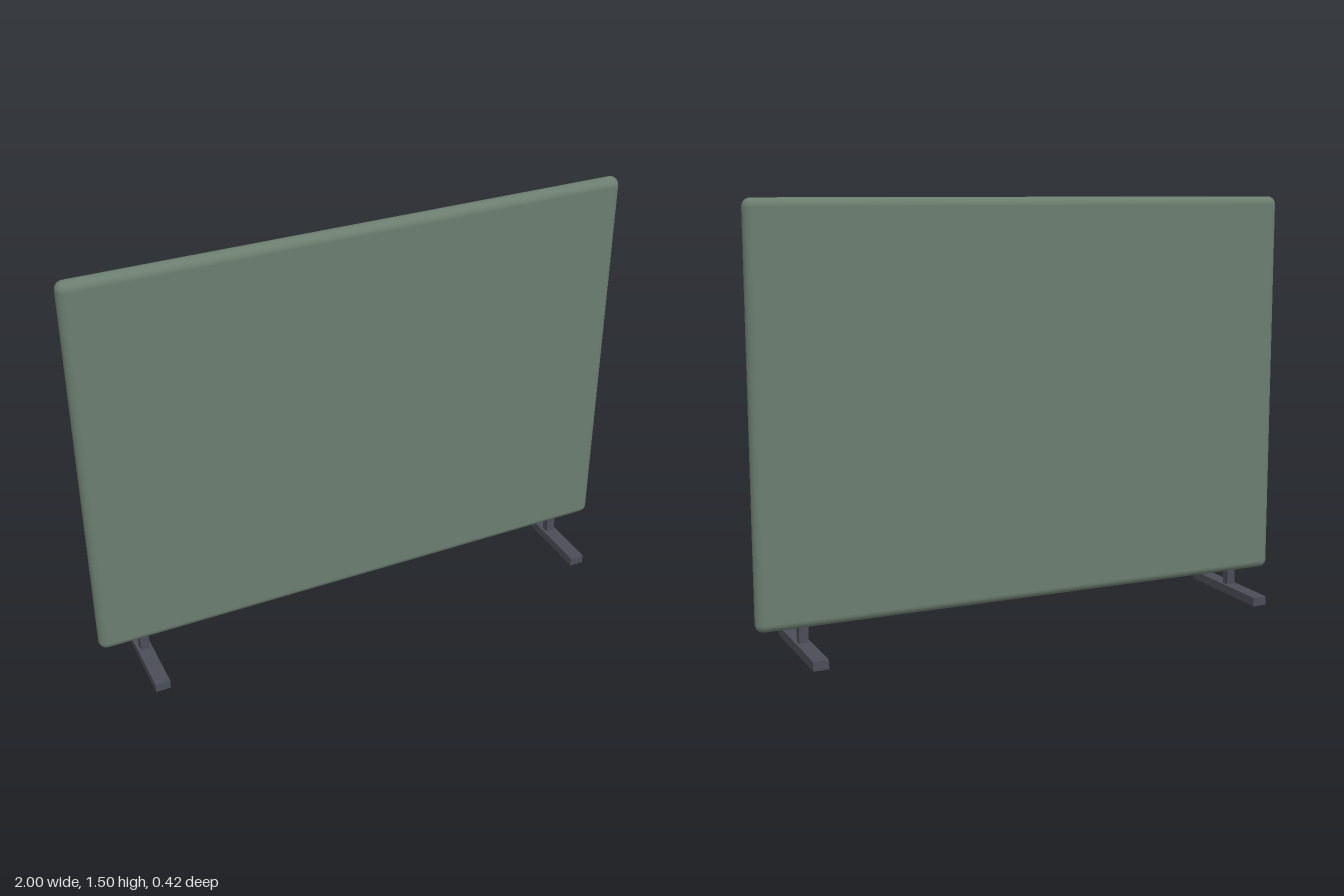
import * as THREE from 'three';
import { RoundedBoxGeometry } from 'three/addons/geometries/RoundedBoxGeometry.js';

export function createModel() {
  const group = new THREE.Group();
  group.name = 'partitionScreen';

  const fabric = new THREE.MeshStandardMaterial({ color: 0x6b7d6f });
  fabric.name = 'sage green fabric';
  const metal = new THREE.MeshStandardMaterial({ color: 0x4a4d57 });
  metal.name = 'dark grey metal';

  const add = (name, geometry, material, x, y, z = 0) => {
    const mesh = new THREE.Mesh(geometry, material);
    mesh.name = name;
    mesh.position.set(x, y, z);
    group.add(mesh);
  };

  // Upholstered panel with fully rounded edges
  const bottom = 0.084, top = 1.5;
  add('panel', new RoundedBoxGeometry(2, top - bottom, 0.06, 6, 0.0295), fabric, 0, (top + bottom) / 2);

  // A foot bar and a short post under each end
  for (const [side, sign] of [['left', 1], ['right', -1]]) {
    add(side + 'Foot', new THREE.BoxGeometry(0.053, 0.032, 0.42), metal, sign * 0.84, 0.016);
    add(side + 'Post', new THREE.BoxGeometry(0.032, 0.07, 0.03), metal, sign * 0.84, 0.065);
  }

  return group;
}
